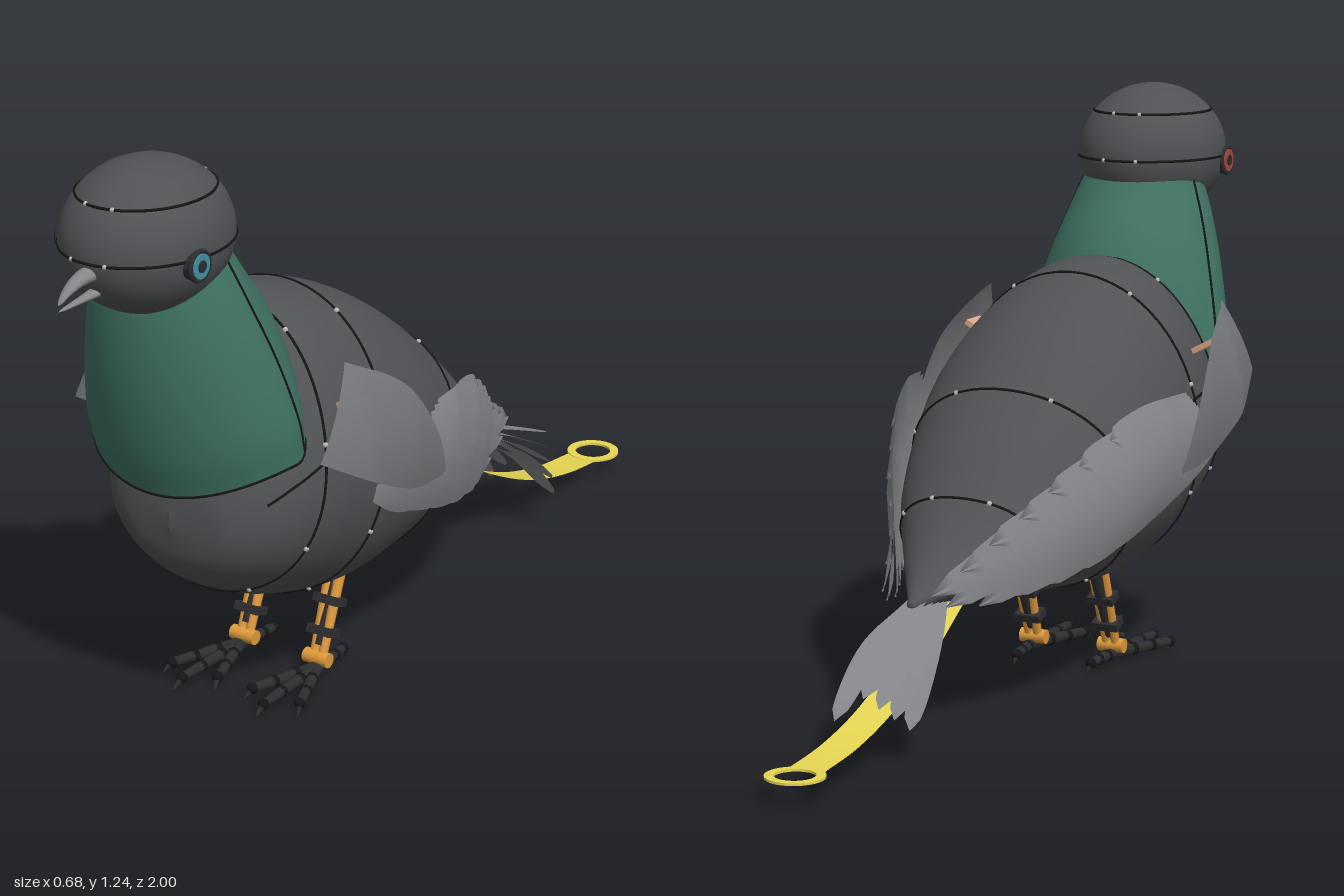
import * as THREE from 'three';
import { ParametricGeometry } from 'three/addons/geometries/ParametricGeometry.js';

const V = (x, y, z) => new THREE.Vector3(x, y, z);
const mat = (color, side = THREE.FrontSide) => new THREE.MeshStandardMaterial({ color, side });
const spline = (pts) => new THREE.CatmullRomCurve3(pts.map((p) => V(...p)));

const M = {
  body: mat(0x515256), neck: mat(0x3f7262, THREE.DoubleSide), seam: mat(0x161617),
  covert: mat(0x77787c, THREE.DoubleSide), feather: mat(0x88898e, THREE.DoubleSide),
  beak: mat(0x85868a), gold: mat(0xe6d653, THREE.DoubleSide), orange: mat(0xe09a3c),
  dark: mat(0x2e2e30), salmon: mat(0xd9a688), rivet: mat(0xb8b8b8),
  blue: mat(0x3f93a8), red: mat(0xa8483f),
};

function add(parent, name, geometry, material, pos) {
  const m = new THREE.Mesh(geometry, material);
  m.name = name;
  if (pos) m.position.set(...pos);
  parent.add(m);
  return m;
}
const surface = (f, nu, nv) => new ParametricGeometry(f, nu, nv);

// Cylinder or cone between two points
function rod(parent, name, a, b, ra, rb, material, sides = 10) {
  const m = add(parent, name, new THREE.CylinderGeometry(rb, ra, a.distanceTo(b), sides), material);
  m.position.copy(a).lerp(b, 0.5);
  m.quaternion.setFromUnitVectors(V(0, 1, 0), b.clone().sub(a).normalize());
  return m;
}

function seam(parent, points, closed = false) {
  add(parent, 'panelSeam', new THREE.TubeGeometry(
    new THREE.CatmullRomCurve3(points, closed), points.length * 2, 0.003, 5, closed), M.seam);
}

// Body sections from tail to chest: z, bottom, top / half width, height of the widest point
const bodyA = spline([[-0.45, 0.27, 0.29], [-0.3, 0.26, 0.4], [-0.13, 0.235, 0.585], [0.12, 0.2, 0.785],
  [0.3, 0.188, 0.865], [0.45, 0.225, 0.88], [0.55, 0.27, 0.77], [0.62, 0.315, 0.66], [0.662, 0.37, 0.57], [0.68, 0.45, 0.47]]);
const bodyB = spline([[0.012, 0.28, 0], [0.1, 0.33, 0], [0.195, 0.41, 0], [0.275, 0.49, 0], [0.288, 0.52, 0],
  [0.275, 0.53, 0], [0.245, 0.51, 0], [0.195, 0.48, 0], [0.125, 0.46, 0], [0, 0.46, 0]]);
function bodyPoint(t, a, target, grow = 0) {
  const A = bodyA.getPoint(t), B = bodyB.getPoint(t), c = Math.cos(a);
  return target.set((B.x + grow) * Math.sin(a), B.y + c * ((c > 0 ? A.z - B.y : B.y - A.y) + grow), A.x);
}

function buildBody(root) {
  const g = new THREE.Group();
  g.name = 'body';
  root.add(g);
  add(g, 'bodyShell', surface((u, v, p) => bodyPoint(v, -u * Math.PI * 2, p), 56, 60), M.body);
  add(g, 'bodyTailCap', new THREE.SphereGeometry(0.013, 12, 8), M.body, [0, 0.28, -0.45]);
  // Slanted panel seams with rivets
  for (const [t, slant] of [[0.18, -0.03], [0.3, -0.04], [0.47, -0.03], [0.62, -0.06]]) {
    const at = (a) => bodyPoint(t + slant * Math.cos(a), a, V(0, 0, 0), 0.0005);
    seam(g, Array.from({ length: 48 }, (_, i) => at((i / 48) * Math.PI * 2)), true);
    for (const a of [0.5, 1.25, 2, 2.7]) for (const s of [-1, 1])
      add(g, 'rivet', new THREE.SphereGeometry(0.006, 8, 6), M.rivet, at(a * s).toArray());
  }
  // Shoulder seams running along each flank
  for (const s of [-1, 1])
    seam(g, Array.from({ length: 14 }, (_, i) => bodyPoint(0.3 + i * 0.036, s * 1.35, V(0, 0, 0), 0.0005)));
}

// Neck collar rings from hem to top, each given by its front, side and back point
const neckFront = spline([[0, 0.545, 0.735], [0, 0.63, 0.765], [0, 0.78, 0.795], [0, 0.92, 0.802], [0, 1.04, 0.79]]);
const neckSide = spline([[0.24, 0.61, 0.57], [0.238, 0.68, 0.585], [0.208, 0.82, 0.62], [0.172, 0.94, 0.655], [0.135, 1.04, 0.68]]);
const neckBack = spline([[0, 0.875, 0.45], [0, 0.9, 0.462], [0, 0.95, 0.49], [0, 1.0, 0.53], [0, 1.05, 0.565]]);
function neckPoint(v, a, target) {
  const s = neckSide.getPoint(v), c = Math.cos(a);
  const end = (c > 0 ? neckFront : neckBack).getPoint(v), k = Math.abs(c);
  return target.set(s.x * Math.sin(a), s.y + (end.y - s.y) * k * k, s.z + (end.z - s.z) * k);
}

function buildNeck(root) {
  const g = new THREE.Group();
  g.name = 'neck';
  root.add(g);
  add(g, 'neckCollar', surface((u, v, p) => neckPoint(v, u * Math.PI * 2, p), 56, 24), M.neck);
  seam(g, Array.from({ length: 48 }, (_, i) => neckPoint(0, (i / 48) * Math.PI * 2, V(0, 0, 0))), true);
  for (const s of [-1, 1])
    seam(g, Array.from({ length: 12 }, (_, i) => neckPoint(i / 11, s * 1.8, V(0, 0, 0))));
}

function buildHead(root) {
  const g = new THREE.Group();
  g.name = 'head';
  g.position.set(0, 1.088, 0.728);
  root.add(g);
  const R = V(0.162, 0.153, 0.187);
  add(g, 'skull', new THREE.SphereGeometry(1, 48, 32), M.body).scale.copy(R);
  for (const y of [0.093, -0.008]) {
    const r = Math.sqrt(1 - (y / R.y) ** 2);
    seam(g, Array.from({ length: 40 }, (_, i) => {
      const a = (i / 40) * Math.PI * 2;
      return V(R.x * r * Math.sin(a), y, R.z * r * Math.cos(a));
    }), true);
    for (const a of [0.25, 2.9]) for (const s of [-1, 1])
      add(g, 'rivet', new THREE.SphereGeometry(0.005, 8, 6), M.rivet, [s * R.x * r * Math.sin(a), y, R.z * r * Math.cos(a)]);
  }
  // Eyes: rim, iris and pupil
  for (const s of [-1, 1]) {
    const eye = new THREE.Group();
    eye.name = s > 0 ? 'leftEye' : 'rightEye';
    eye.position.set(s * 0.155, -0.02, 0.048);
    eye.rotation.y = s * Math.PI / 2;
    g.add(eye);
    const disc = (name, r, h, z, m) => add(eye, name, new THREE.CylinderGeometry(r, r, h, 28), m, [0, 0, z]).rotateX(Math.PI / 2);
    disc('eyeBase', 0.03, 0.02, -0.002, M.dark);
    add(eye, 'eyeRim', new THREE.TorusGeometry(0.029, 0.005, 8, 28), M.dark, [0, 0, 0.007]);
    disc('iris', 0.025, 0.006, 0.01, s > 0 ? M.blue : M.red);
    disc('pupil', 0.012, 0.004, 0.013, M.dark);
  }
  // Beak halves, tapering and bending down
  const beak = (name, pts, w, h) => {
    const c = spline(pts);
    add(g, name, surface((u, v, p) => {
      const a = u * Math.PI * 2, k = Math.sqrt(1 - v) * (1 - 0.2 * v);
      p.copy(c.getPoint(v));
      p.x += w * k * Math.cos(a);
      p.y += h * k * Math.sin(a);
    }, 16, 14), M.beak);
  };
  beak('upperBeak', [[0, -0.03, 0.16], [0, -0.034, 0.21], [0, -0.047, 0.245], [0, -0.066, 0.272]], 0.022, 0.017);
  beak('lowerBeak', [[0, -0.072, 0.15], [0, -0.075, 0.2], [0, -0.079, 0.272]], 0.016, 0.01);
}

// Wing surface: outward bulge by z, with its ridge height
const wingTable = [[-0.5, 0.05, 0.3], [-0.3, 0.13, 0.36], [-0.15, 0.215, 0.43], [0, 0.28, 0.5],
  [0.12, 0.312, 0.55], [0.3, 0.328, 0.58], [0.45, 0.33, 0.58], [0.6, 0.295, 0.58]];
function wingX(z, y) {
  let i = 0;
  while (i < wingTable.length - 2 && z > wingTable[i + 1][0]) i++;
  const [a, b] = [wingTable[i], wingTable[i + 1]];
  const k = THREE.MathUtils.clamp((z - a[0]) / (b[0] - a[0]), 0, 1);
  const d = y - (a[2] + (b[2] - a[2]) * k);
  return a[1] + (b[1] - a[1]) * k - 1.2 * d * d;
}

// Leaf outline: narrow root, full middle, rounded tip
const leaf = (v) => (0.45 + 0.55 * Math.sin(Math.min(v * 1.6, 1) * Math.PI / 2)) * Math.sqrt(Math.max(0, 1 - v ** 6));

function buildWing(root, s) {
  const g = new THREE.Group();
  g.name = s > 0 ? 'leftWing' : 'rightWing';
  g.scale.x = s;
  root.add(g);
  const tips = spline([[0, 0.4, 0.16], [0, 0.345, 0.03], [0, 0.3, -0.11], [0, 0.275, -0.25], [0, 0.265, -0.36],
    [0, 0.3, -0.48], [0, 0.36, -0.38], [0, 0.43, -0.27], [0, 0.5, -0.17], [0, 0.57, -0.05]]);
  const n = 15;
  for (let i = 0; i < n; i++) {
    const k = i / (n - 1), a = V(0, 0.5 + 0.12 * k, 0.4 - 0.2 * k), b = tips.getPoint(k);
    const side = V(0, b.z - a.z, a.y - b.y).normalize();
    add(g, 'wingFeather', surface((u, v, p) => {
      p.copy(a).lerp(b, v).addScaledVector(side, (u - 0.5) * 0.08 * leaf(v));
      p.x = wingX(p.z, p.y) - 0.018 + 0.0018 * i + 0.006 * (u - 0.5);
    }, 4, 14), M.feather);
  }
  // Smooth shoulder shield over the feather roots
  const top = spline([[0, 0.8, 0.47], [0, 0.715, 0.32], [0, 0.59, 0.225], [0, 0.475, 0.17]]);
  const low = spline([[0, 0.63, 0.59], [0, 0.54, 0.43], [0, 0.475, 0.28], [0, 0.465, 0.18]]);
  add(g, 'shoulderShield', surface((u, v, p) => {
    p.copy(top.getPoint(v)).lerp(low.getPoint(v), u);
    p.x = wingX(p.z, p.y) + 0.012;
  }, 14, 18), M.covert);
  add(g, 'shoulderJoint', new THREE.BoxGeometry(0.07, 0.012, 0.065), M.salmon, [0.27, 0.705, 0.415]).rotation.z = 0.5;
}

function buildTail(root) {
  const g = new THREE.Group();
  g.name = 'tail';
  root.add(g);
  for (let i = -4; i <= 4; i++) {
    const f = i / 4, k = Math.abs(f);
    const c = spline([[f * 0.02, 0.31 - 0.03 * k, -0.36], [f * 0.06, 0.25 - 0.045 * k, -0.53 + 0.03 * k], [f * 0.085, 0.17 - 0.1 * k, -0.73 + 0.1 * k]]);
    add(g, 'tailFeather', surface((u, v, p) => {
      p.copy(c.getPoint(v));
      p.x += (u - 0.5) * 0.058 * leaf(v);
    }, 3, 14), M.feather);
  }
}

// Flat strap ending in a ring
function buildStrap(root) {
  const g = new THREE.Group();
  g.name = 'strap';
  root.add(g);
  const c = spline([[0, 0.262, -0.29], [0, 0.17, -0.45], [0, 0.1, -0.61], [0, 0.062, -0.76], [0, 0.047, -0.895]]);
  add(g, 'strapBand', surface((u, v, p) => {
    p.copy(c.getPoint(v));
    p.x = (u - 0.5) * 0.078;
  }, 1, 24), M.gold);
  const ring = new THREE.Shape().absarc(0, 0, 0.06, 0, Math.PI * 2);
  ring.holes.push(new THREE.Path().absarc(0, 0, 0.041, 0, Math.PI * 2, true));
  const geo = new THREE.ExtrudeGeometry(ring, { depth: 0.005, bevelEnabled: false, curveSegments: 28 });
  add(g, 'strapRing', geo, M.gold, [0, 0.044, -0.94]).rotation.x = -Math.PI / 2;
}

function buildLeg(root, s) {
  const g = new THREE.Group();
  g.name = s > 0 ? 'leftLeg' : 'rightLeg';
  g.scale.x = s;
  root.add(g);
  const hip = V(0.093, 0.23, 0.235), ankle = V(0.095, 0.035, 0.31);
  for (const dx of [-0.013, 0.013])
    rod(g, 'shank', hip.clone().add(V(dx, 0, 0)), ankle.clone().add(V(dx * 0.8, 0, 0)), 0.012, 0.01, M.orange);
  rod(g, 'shinGuard', hip.clone().add(V(0, 0, -0.012)), ankle.clone().add(V(0, 0.03, -0.01)), 0.016, 0.012, M.dark);
  for (const k of [0.38, 0.7]) {
    const band = add(g, 'legBand', new THREE.BoxGeometry(0.06, 0.018, 0.04), M.dark);
    band.position.copy(hip).lerp(ankle, k);
    band.rotation.x = -0.37;
  }
  add(g, 'ankleJoint', new THREE.CylinderGeometry(0.016, 0.016, 0.06, 16), M.orange, [0.095, 0.04, 0.31]).rotation.z = Math.PI / 2;
  // Jointed toes: three forward, one back
  const heel = V(0.1, 0.022, 0.315);
  for (const [x, z] of [[0.045, 0.47], [0.105, 0.515], [0.165, 0.47], [0.09, 0.21]]) {
    const end = V(x, 0.02, z), at = (k) => heel.clone().lerp(end, k);
    for (let j = 0; j < 3; j++) {
      rod(g, 'toeSegment', at(j / 3), at((j + 0.9) / 3), 0.014 - j * 0.001, 0.012 - j * 0.001, M.dark, 8);
      add(g, 'toeJoint', new THREE.SphereGeometry(0.014 - j * 0.001, 10, 8), M.seam, at((j + 1) / 3).toArray());
    }
    rod(g, 'claw', end, at(1.14).setY(0.002), 0.009, 0.001, M.dark, 8);
  }
}

export function createModel() {
  const root = new THREE.Group();
  root.name = 'bird';
  for (const build of [buildBody, buildNeck, buildHead, buildTail, buildStrap]) build(root);
  for (const s of [1, -1]) {
    buildWing(root, s);
    buildLeg(root, s);
  }
  return root;
}
